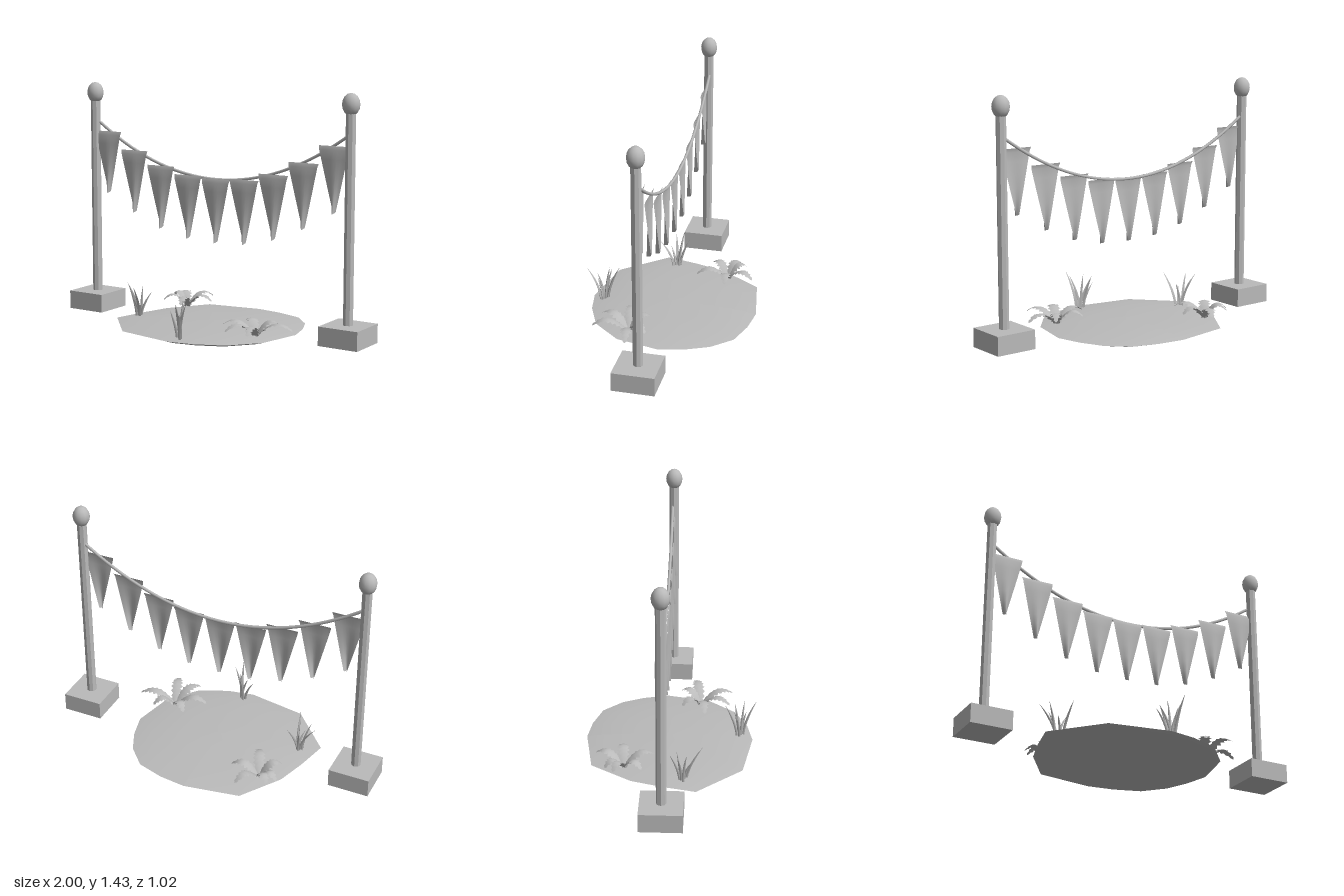
import * as THREE from 'three';

const grey = new THREE.MeshStandardMaterial({ color: 0xbababa, side: THREE.DoubleSide });
grey.name = 'plain grey';

// Smooth surface through rows of [x, y, z] points
function surface(rows) {
  const n = rows[0].length, index = [];
  for (let r = 0; r < rows.length - 1; r++) {
    for (let c = 0; c < n - 1; c++) {
      const a = r * n + c, b = a + n;
      index.push(a, b, a + 1, a + 1, b, b + 1);
    }
  }
  const g = new THREE.BufferGeometry();
  g.setAttribute('position', new THREE.Float32BufferAttribute(rows.flat(2), 3));
  g.setIndex(index);
  g.computeVertexNormals();
  return g;
}

function add(parent, name, geometry, x = 0, y = 0, z = 0) {
  const m = new THREE.Mesh(geometry, grey);
  m.name = name;
  m.position.set(x, y, z);
  parent.add(m);
  return m;
}

function group(parent, name) {
  const g = new THREE.Group();
  g.name = name;
  parent.add(g);
  return g;
}

const ropeY = x => 0.9 + 0.3 * (x / 0.86) ** 2;

// Tapered pennant with a hem at the top and a fold deepening to the tip
function flagGeometry() {
  const rows = [];
  for (const v of [0, 0.06, 0.2, 0.4, 0.6, 0.75, 0.88, 0.96, 1]) {
    const half = 0.097 * (1 - v) + 0.01 * v, row = [];
    for (let i = 0; i <= 8; i++) {
      const u = i / 4 - 1;
      const bulge = 0.014 * v * Math.cos(u * Math.PI) + (v === 0 ? -0.008 : 0);
      row.push([u * half, -0.375 * v + 0.012 * v * v * u * u, bulge]);
    }
    rows.push(row);
  }
  return surface(rows);
}

// Arching serrated frond, folded along its midrib
function frondGeometry(dx, dz) {
  const len = Math.hypot(dx, dz), ax = dz / len, az = -dx / len;
  const rows = [], n = 16;
  for (let i = 0; i <= n; i++) {
    const t = i / n;
    const tooth = i % 2 ? 1 : 0.6;
    const w = i === n ? 0.001 : 0.038 * tooth * Math.sin(Math.PI * (0.14 + 0.8 * t));
    const y = 0.06 + 0.085 * Math.sin(2.55 * t);
    const back = i % 2 ? 0.02 : 0;
    rows.push([-1, 0, 1].map(s => {
      const k = s ? t + back : t;
      return [dx * k + ax * w * s, y - Math.abs(s) * w * 0.25, dz * k + az * w * s];
    }));
  }
  return surface(rows);
}

// Curved, three-sided grass blade from base to tip
function bladeGeometry(base, tip, r) {
  const rows = [];
  for (let i = 0; i <= 6; i++) {
    const t = i / 6, bend = t ** 1.7;
    const w = r * (0.75 + 0.6 * t) * (1 - t ** 2) + 0.0005;
    const row = [];
    for (let k = 0; k <= 3; k++) {
      const a = k * Math.PI * 2 / 3;
      row.push([
        base[0] + (tip[0] - base[0]) * bend + w * Math.cos(a),
        base[1] + (tip[1] - base[1]) * t,
        base[2] + (tip[2] - base[2]) * bend + w * Math.sin(a)]);
    }
    rows.push(row);
  }
  return surface(rows);
}

export function createModel() {
  const model = new THREE.Group();
  model.name = 'buntingDisplay';

  // Posts with block feet and egg-shaped knobs
  for (const side of [-1, 1]) {
    const post = group(model, side < 0 ? 'rightPost' : 'leftPost');
    post.position.set(side * 0.876, 0, -0.026);
    add(post, 'foot', new THREE.BoxGeometry(0.244, 0.11, 0.244), 0, 0.095, 0);
    const pole = new THREE.CylinderGeometry(0.029, 0.029, 1.19, 8).toNonIndexed();
    pole.computeVertexNormals();
    add(post, 'pole', pole, 0, 0.735, 0);
    add(post, 'knob', new THREE.SphereGeometry(1, 12, 8), 0, 1.372, 0).scale.set(0.05, 0.063, 0.05);
  }

  // Sagging rope
  const ropePoints = [];
  for (let i = 0; i <= 16; i++) {
    const x = -0.865 + 1.73 * i / 16;
    ropePoints.push(new THREE.Vector3(x, ropeY(x), -0.034));
  }
  add(model, 'rope', new THREE.TubeGeometry(new THREE.CatmullRomCurve3(ropePoints), 32, 0.009, 6));

  // Row of nine flags
  const flags = group(model, 'flags');
  const flagShape = flagGeometry();
  const tops = [0.903, 0.912, 0.955, 1.035, 1.14];
  for (let i = -4; i <= 4; i++) {
    add(flags, 'flag', flagShape, i * 0.1945, tops[Math.abs(i)], -0.016);
  }

  // Irregular lens-shaped ground patch
  const outline = [[0, -0.515], [-0.33, -0.46], [-0.49, -0.22], [-0.545, -0.04], [-0.59, 0.155],
    [-0.35, 0.42], [0, 0.48], [0.16, 0.45], [0.33, 0.375], [0.47, 0.21], [0.528, -0.05],
    [0.49, -0.2], [0.43, -0.33], [0.32, -0.445], [0.16, -0.495], [0, -0.515]];
  const loop = (s, y) => outline.map(([x, z]) => [x * s, y, z * s]);
  const ground = group(model, 'ground');
  add(ground, 'groundTop', surface([loop(0, 0.07), loop(0.45, 0.067), loop(0.8, 0.057), loop(1, 0.042)]));
  add(ground, 'groundUnderside', surface([loop(1, 0.042), loop(0.85, 0.018), loop(0.5, 0.004), loop(0, 0)]));

  // Ferns: centre, then frond reaches
  const ferns = [
    [-0.37, -0.27, [[0.17, -0.01], [0.08, -0.165], [-0.13, -0.05], [-0.1, 0.11], [0.075, 0.18], [-0.09, -0.1]]],
    [0.39, 0.16, [[0.22, -0.035], [0.09, -0.12], [-0.11, -0.11], [-0.2, 0.03], [-0.09, 0.18], [0.07, 0.2]]]];
  for (const [x, z, reaches] of ferns) {
    const fern = group(model, 'fern');
    fern.position.set(x, 0, z);
    for (const [dx, dz] of reaches) add(fern, 'frond', frondGeometry(dx, dz));
  }

  // Grass tufts: centre, then blade tips
  const tufts = [
    [-0.475, 0.075, [[-0.585, 0.24, 0.055], [-0.545, 0.245, 0.1], [-0.505, 0.225, 0.005],
      [-0.44, 0.245, 0.19], [-0.415, 0.2, 0.04], [-0.5, 0.17, 0.12]]],
    [0.04, 0.405, [[-0.01, 0.23, 0.37], [0.02, 0.26, 0.315], [0.04, 0.265, 0.37], [0.075, 0.265, 0.5],
      [0.1, 0.255, 0.43], [0.06, 0.2, 0.44], [-0.04, 0.2, 0.385]]]];
  for (const [x, z, tips] of tufts) {
    const tuft = group(model, 'grassTuft');
    tips.forEach((tip, i) => {
      const base = [x + (tip[0] - x) * 0.2 + 0.012 * Math.cos(i * 2.4), 0.045, z + (tip[2] - z) * 0.2];
      add(tuft, 'blade', bladeGeometry(base, tip, 0.01));
    });
  }
  return model;
}
